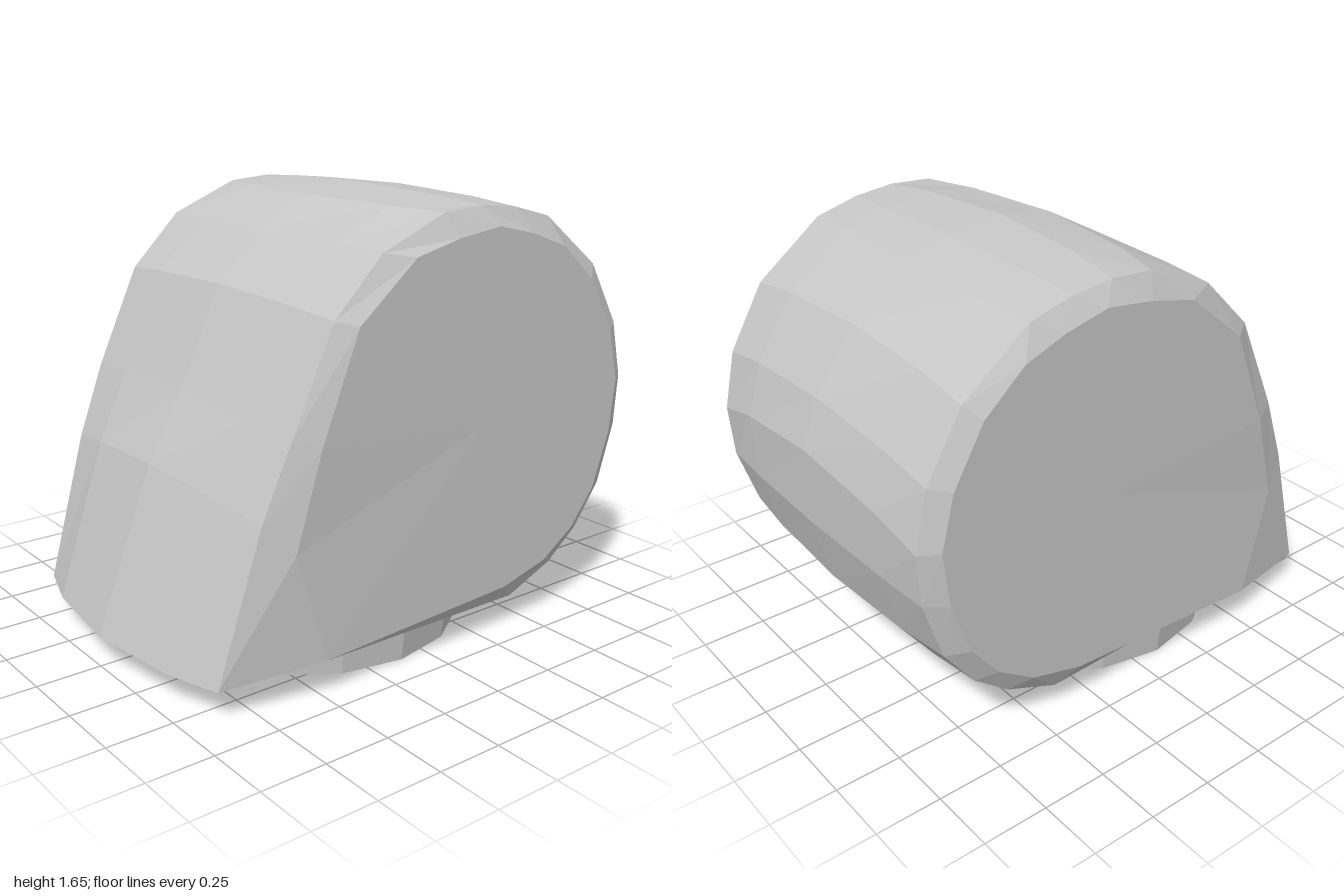
import * as THREE from 'three';

// Matching [z, y] outlines: widest middle, rounded rim, flat side face
const MIDDLE = [[1, .113], [.77, .72], [.63, .97], [.46, 1.33], [.27, 1.51], [.07, 1.62], [-.15, 1.655], [-.38, 1.63],
  [-.55, 1.58], [-.78, 1.41], [-.935, 1.18], [-1, 1], [-1, .72], [-.93, .46], [-.8, .29], [-.66, .18], [-.5, .113]];
const RIM = [[.885, .113], [.72, .66], [.61, .93], [.44, 1.3], [.24, 1.5], [-.03, 1.61], [-.2, 1.622], [-.36, 1.605],
  [-.53, 1.56], [-.79, 1.36], [-.93, 1.12], [-.98, .9], [-.965, .7], [-.89, .47], [-.77, .31], [-.63, .2], [-.42, .113]];
const SIDE = [[.5, .145], [.62, .55], [.52, .9], [.37, 1.28], [.13, 1.48], [-.06, 1.525], [-.25, 1.55], [-.42, 1.51],
  [-.58, 1.45], [-.74, 1.31], [-.86, 1.1], [-.91, .9], [-.885, .69], [-.81, .48], [-.7, .34], [-.55, .24], [-.34, .185]];

function loft(sections) {
  const pos = [], n = sections[0].length;
  const tri = (a, b, c) => pos.push(...a, ...b, ...c);
  for (let i = 0; i < sections.length - 1; i++) {
    const a = sections[i], b = sections[i + 1];
    for (let j = 0; j < n; j++) {
      const k = (j + 1) % n;
      tri(a[j], b[j], b[k]);
      tri(a[j], b[k], a[k]);
    }
  }
  // End caps
  const first = sections[0], last = sections[sections.length - 1];
  for (let j = 0; j < n; j++) {
    const k = (j + 1) % n;
    tri([first[0][0], .85, -.2], first[j], first[k]);
    tri([last[0][0], .85, -.2], last[k], last[j]);
  }
  const geo = new THREE.BufferGeometry();
  geo.setAttribute('position', new THREE.Float32BufferAttribute(pos, 3));
  geo.computeVertexNormals();
  return geo;
}

export function createModel() {
  const group = new THREE.Group();
  const grey = new THREE.MeshStandardMaterial({ color: 0xc6c6c6, flatShading: true });
  grey.name = 'light grey';

  // Barrel-shaped hood, bulging slightly between its two sides and tapering at the front corners
  const rimX = (z) => .64 - Math.max(0, z - .6) * .15;
  const section = (t) => MIDDLE.map(([z, y], j) => {
    const [rz, ry] = RIM[j], f = t * t;
    return [t * rimX(rz), y + (ry - y) * f, z + (rz - z) * f];
  });
  const side = (s) => SIDE.map(([z, y]) => [s * (.685 - Math.max(0, z - .5) * .1), y, z]);
  const hood = new THREE.Mesh(loft([side(-1), ...[-1, -.65, 0, .65, 1].map(section), side(1)]), grey);
  hood.name = 'hood';
  group.add(hood);

  // Short round foot with a shallow hollow underneath
  const profile = [[0, .03], [.6, .03], [.62, 0], [.632, .115]].map(([r, y]) => new THREE.Vector2(r, y));
  const foot = new THREE.Mesh(new THREE.LatheGeometry(profile, 16), grey);
  foot.name = 'foot';
  foot.position.z = .11;
  group.add(foot);

  return group;
}
